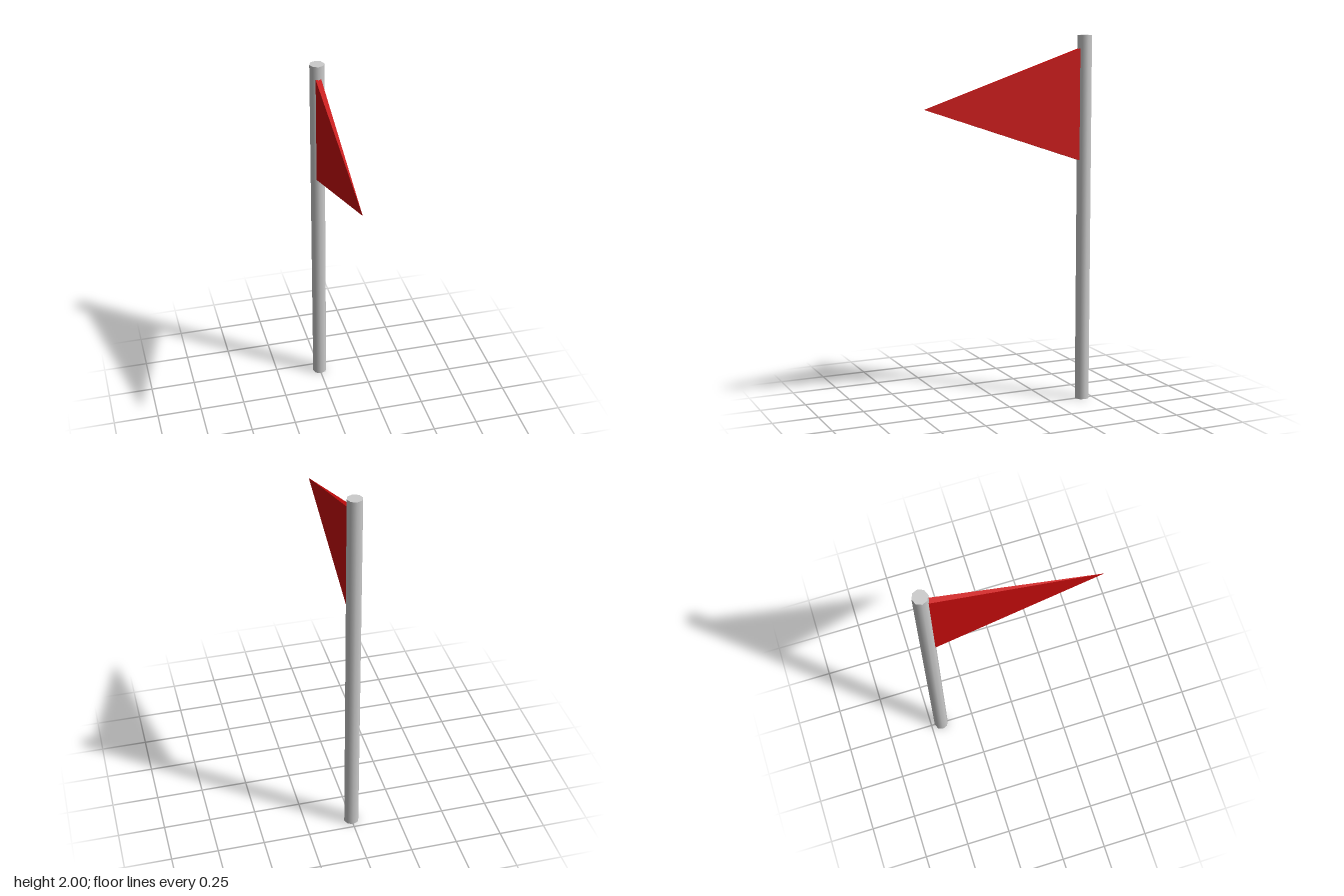
import * as THREE from 'three';

export function createModel() {
  const model = new THREE.Group();
  model.name = 'pennantFlag';

  const poleGrey = new THREE.MeshStandardMaterial({ color: 0xcccccc });
  poleGrey.name = 'poleGrey';
  const flagRed = new THREE.MeshStandardMaterial({ color: 0xcc0c0c });
  flagRed.name = 'flagRed';

  // Eight-sided pole, rounded by smooth normals, at the back
  const pole = new THREE.Mesh(new THREE.CylinderGeometry(0.04, 0.04, 2, 8), poleGrey);
  pole.name = 'pole';
  pole.position.set(0, 1, -0.44);
  model.add(pole);

  // Pennant: a flattened four-sided pyramid whose tip points forward
  const baseZ = -0.41, tipZ = 0.48;
  const shape = new THREE.ConeGeometry(Math.SQRT1_2, 1, 4, 1, false, Math.PI / 4);
  shape.scale(0.03, tipZ - baseZ, 0.6);
  shape.rotateX(Math.PI / 2);
  const flatShape = shape.toNonIndexed();
  flatShape.computeVertexNormals();
  const flag = new THREE.Mesh(flatShape, flagRed);
  flag.name = 'flag';
  flag.position.set(0, 1.63, (baseZ + tipZ) / 2);
  model.add(flag);

  return model;
}
